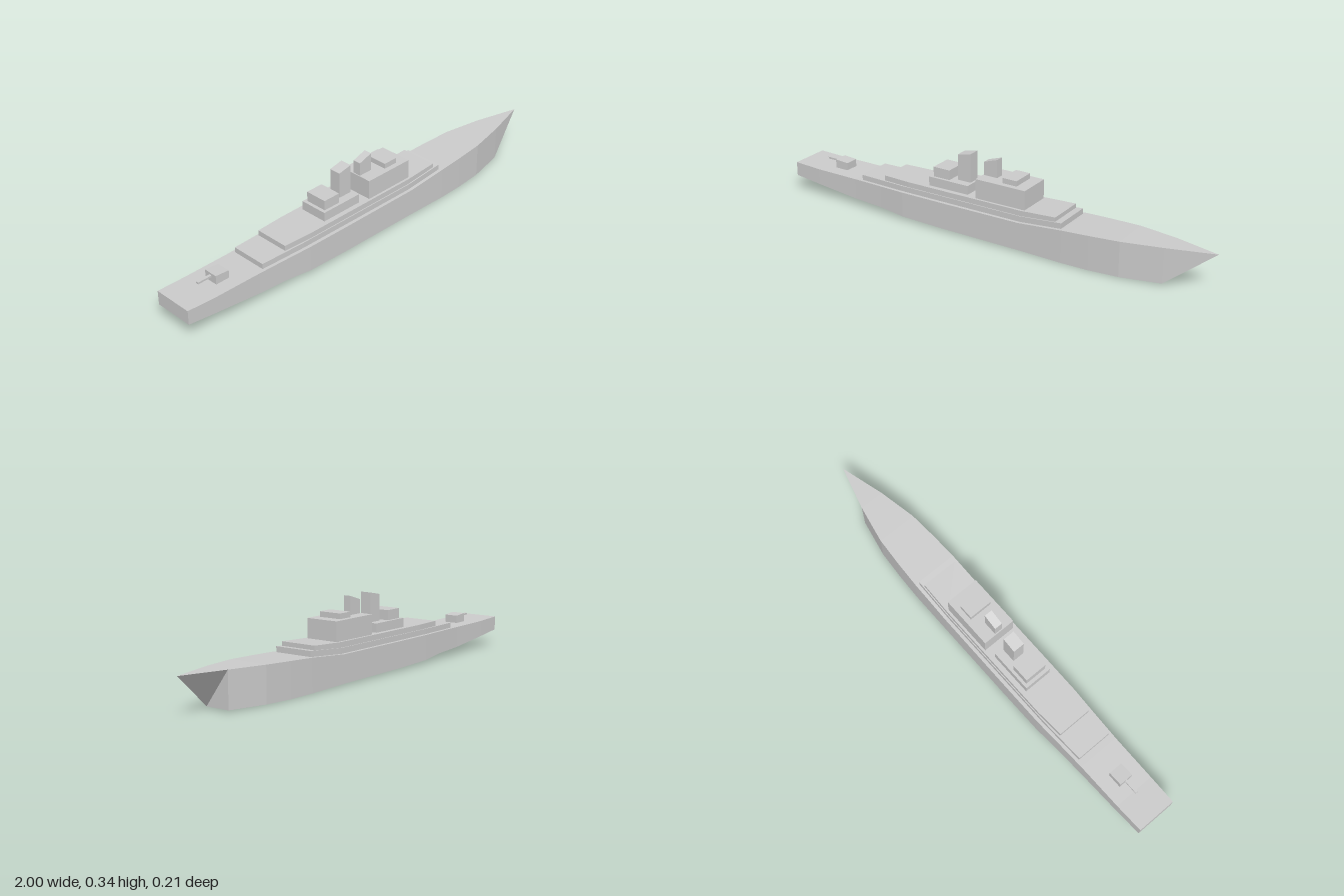
import * as THREE from 'three';

const material = new THREE.MeshStandardMaterial({ color: 0xcccccc, flatShading: true });

function addMesh(group, name, geometry) {
  const mesh = new THREE.Mesh(geometry, material);
  mesh.name = name;
  group.add(mesh);
}

// Solid through rectangular stations [x, bottom, top, halfWidth], aft to fore.
// An optional tip closes the fore end as an overhanging bow.
function loft(stations, tip) {
  const pos = [];
  const tri = (...points) => points.forEach((p) => pos.push(...p));
  const quad = (a, b, c, d) => { tri(a, b, c); tri(a, c, d); };
  // Corner order: bottom left, bottom right, top right, top left (seen from the bow)
  const rings = stations.map(([x, lo, hi, w]) => [[x, lo, w], [x, lo, -w], [x, hi, -w], [x, hi, w]]);
  for (let i = 0; i < rings.length - 1; i++) {
    for (let k = 0; k < 4; k++) {
      const n = (k + 1) % 4;
      quad(rings[i][k], rings[i][n], rings[i + 1][n], rings[i + 1][k]);
    }
  }
  const [d, c, b, a] = rings[0];
  quad(a, b, c, d);
  const [p, q, r, s] = rings[rings.length - 1];
  if (tip) {
    tri(p, q, r);
    tri(p, r, tip);
    tri(s, p, tip);
    tri(r, s, tip);
  } else {
    quad(p, q, r, s);
  }
  const geometry = new THREE.BufferGeometry();
  geometry.setAttribute('position', new THREE.Float32BufferAttribute(pos, 3));
  geometry.computeVertexNormals();
  return geometry;
}

// Box between two x positions whose top may slope from aft to fore
const block = (x0, x1, y0, aftTop, foreTop, w) => loft([[x0, y0, aftTop, w], [x1, y0, foreTop, w]]);

export function createModel() {
  const ship = new THREE.Group();
  ship.name = 'warship';

  // Hull with raked stern, vertical sides and overhanging bow
  addMesh(ship, 'hull', loft([
    [-1, 0.07, 0.132, 0.088],
    [-0.87, 0.056, 0.127, 0.091],
    [-0.66, 0.034, 0.126, 0.093],
    [-0.52, 0.028, 0.126, 0.098],
    [-0.4, 0.015, 0.126, 0.103],
    [-0.2, 0.01, 0.126, 0.104],
    [0.18, 0.007, 0.127, 0.104],
    [0.38, 0.002, 0.143, 0.103],
    [0.5, 0, 0.148, 0.098],
    [0.63, 0.002, 0.153, 0.089],
    [0.8, 0.006, 0.157, 0.055],
  ], [1, 0.159, 0]));

  // Two long deckhouse tiers following the sheer of the deck
  addMesh(ship, 'lowerDeckhouse', loft([
    [-0.63, 0.12, 0.149, 0.08],
    [-0.42, 0.12, 0.149, 0.088],
    [0.18, 0.12, 0.151, 0.09],
    [0.37, 0.13, 0.166, 0.088],
  ]));
  addMesh(ship, 'upperDeckhouse', loft([
    [-0.51, 0.14, 0.172, 0.077],
    [-0.38, 0.14, 0.172, 0.084],
    [0.18, 0.14, 0.174, 0.086],
    [0.34, 0.14, 0.182, 0.083],
  ]));

  // Bridge and its wheelhouse
  addMesh(ship, 'bridge', block(-0.043, 0.193, 0.16, 0.258, 0.258, 0.075));
  addMesh(ship, 'wheelhouse', block(0.073, 0.14, 0.25, 0.281, 0.281, 0.052));

  // Aft superstructure
  addMesh(ship, 'aftPlatform', block(-0.285, -0.09, 0.16, 0.212, 0.212, 0.063));
  addMesh(ship, 'aftHouse', block(-0.27, -0.19, 0.2, 0.255, 0.255, 0.05));

  // Funnels with sloped tops
  addMesh(ship, 'aftFunnel', block(-0.163, -0.1, 0.2, 0.325, 0.338, 0.026));
  addMesh(ship, 'foreFunnel', block(-0.038, 0.026, 0.25, 0.316, 0.337, 0.018));

  // Stern gun
  addMesh(ship, 'gunTurret', block(-0.818, -0.755, 0.12, 0.165, 0.16, 0.031));
  addMesh(ship, 'gunBarrel', block(-0.882, -0.81, 0.148, 0.156, 0.156, 0.006));

  return ship;
}
